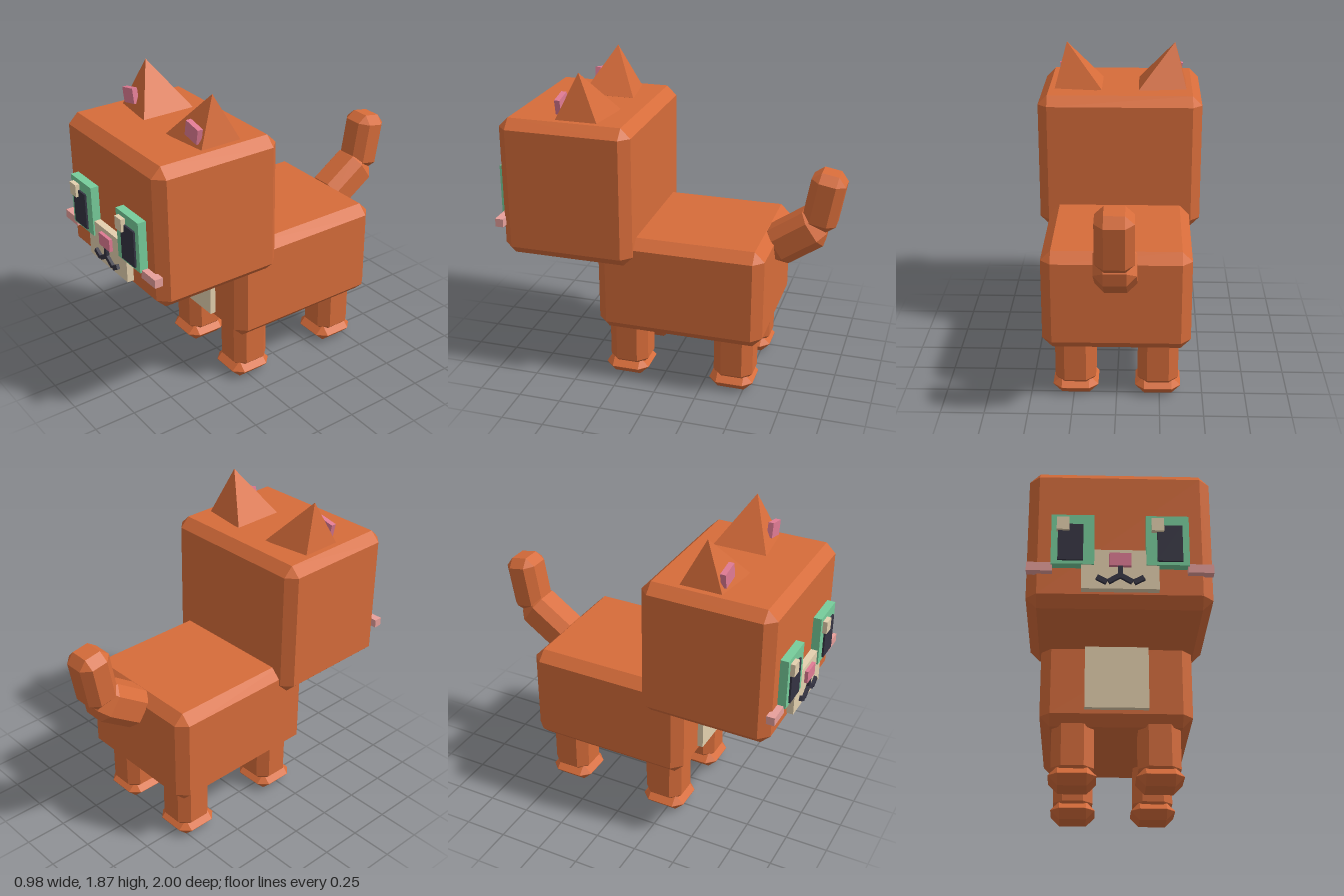
import * as THREE from 'three';
import { ConvexGeometry } from 'three/addons/geometries/ConvexGeometry.js';

const mat = (name, color) => {
  const m = new THREE.MeshStandardMaterial({ color });
  m.name = name;
  return m;
};

// Box with flat chamfers on every edge and corner
function chamferBox(w, h, d, b) {
  const x = w / 2, y = h / 2, z = d / 2, pts = [];
  for (const i of [-1, 1]) for (const j of [-1, 1]) for (const k of [-1, 1]) {
    pts.push(
      new THREE.Vector3(i * x, j * (y - b), k * (z - b)),
      new THREE.Vector3(i * (x - b), j * y, k * (z - b)),
      new THREE.Vector3(i * (x - b), j * (y - b), k * z));
  }
  return new ConvexGeometry(pts);
}

export function createModel() {
  const root = new THREE.Group();
  root.name = 'cat';
  const fur = mat('orange fur', 0xd66c3a);
  const cream = mat('cream', 0xe4d0ae);
  const green = mat('eye green', 0x77cd9b);
  const dark = mat('dark', 0x343342);
  const pink = mat('pink', 0xe07b94);
  const blush = mat('blush', 0xeca39f);

  function add(name, geo, material, x, y, z, parent = root) {
    const m = new THREE.Mesh(geo, material);
    m.name = name;
    m.position.set(x, y, z);
    parent.add(m);
    return m;
  }
  // Box given by its extents
  const block = (name, material, x0, x1, y0, y1, z0, z1, parent) =>
    add(name, new THREE.BoxGeometry(x1 - x0, y1 - y0, z1 - z0), material,
      (x0 + x1) / 2, (y0 + y1) / 2, (z0 + z1) / 2, parent);

  // Body and chest patch
  add('body', chamferBox(0.85, 0.6, 0.99, 0.058), fur, 0, 0.63, -0.12);
  block('chestPatch', cream, -0.178, 0.178, 0.41, 0.81, 0.35, 0.41);

  // Legs with paws
  const legGeo = chamferBox(0.236, 0.36, 0.236, 0.055);
  const pawGeo = chamferBox(0.264, 0.107, 0.264, 0.052);
  for (const side of [-1, 1]) {
    for (const [end, z] of [['front', 0.215], ['back', -0.432]]) {
      const leg = new THREE.Group();
      leg.name = end + (side > 0 ? 'LeftLeg' : 'RightLeg');
      add('shin', legGeo, fur, side * 0.24, 0.23, z, leg);
      add('paw', pawGeo, fur, side * 0.24, 0.0535, z + 0.008, leg);
      root.add(leg);
    }
  }

  // Tail in two bent segments
  add('tailBase', chamferBox(0.236, 0.35, 0.232, 0.055), fur, 0, 0.905, -0.726).rotation.x = -0.97;
  add('tailTip', chamferBox(0.212, 0.35, 0.2, 0.05), fur, 0, 1.14, -0.879).rotation.x = -0.175;

  // Head
  const head = new THREE.Group();
  head.name = 'head';
  root.add(head);
  add('skull', chamferBox(0.984, 0.83, 0.785, 0.057), fur, 0, 1.19, 0.533, head);

  // Face
  block('muzzle', cream, -0.204, 0.204, 0.845, 1.075, 0.9, 0.965, head);
  block('nose', pink, -0.058, 0.058, 0.972, 1.047, 0.93, 0.985, head);
  block('mouthCentre', dark, -0.013, 0.013, 0.905, 0.975, 0.95, 0.983, head);
  for (const s of [-1, 1]) {
    const side = s > 0 ? 'Left' : 'Right';
    const inner = new THREE.BoxGeometry(0.075, 0.026, 0.033);
    add('mouthInner' + side, inner, dark, s * 0.03, 0.9, 0.9665, head).rotation.z = -s * 0.54;
    const outer = new THREE.BoxGeometry(0.058, 0.028, 0.033);
    add('mouthOuter' + side, outer, dark, s * 0.097, 0.892, 0.9665, head).rotation.z = s * 0.5;

    // Eye: iris, pupil, and a glint on the same side of both eyes
    const ex = s * 0.25;
    block('iris' + side, green, ex - 0.114, ex + 0.114, 0.984, 1.281, 0.9, 0.974, head);
    const px = s * 0.2615;
    block('pupil' + side, dark, px - 0.067, px + 0.067, 1.003, 1.219, 0.95, 0.985, head);
    const gx = s * 0.25 - 0.052;
    block('glint' + side, cream, gx - 0.033, gx + 0.033, 1.178, 1.253, 0.965, 1.0, head);

    // Cheek
    add('cheek' + side, new THREE.BoxGeometry(0.136, 0.05, 0.049), blush, s * 0.423, 0.973, 0.938, head);

    // Ear: leaning four-sided spike
    const ear = new ConvexGeometry([
      new THREE.Vector3(s * 0.33, 1.867, 0.475),
      new THREE.Vector3(s * 0.112, 1.608, 0.31),
      new THREE.Vector3(s * 0.112, 1.608, 0.63),
      new THREE.Vector3(s * 0.406, 1.585, 0.34),
      new THREE.Vector3(s * 0.406, 1.585, 0.605),
      new THREE.Vector3(s * 0.25, 1.56, 0.475)]);
    add('ear' + side, ear, fur, 0, 0, 0, head);
    const innerEar = new THREE.BoxGeometry(0.112, 0.088, 0.032);
    add('innerEar' + side, innerEar, pink, s * 0.319, 1.68, 0.588, head).rotation.z = -s * 0.2;
  }
  return root;
}
